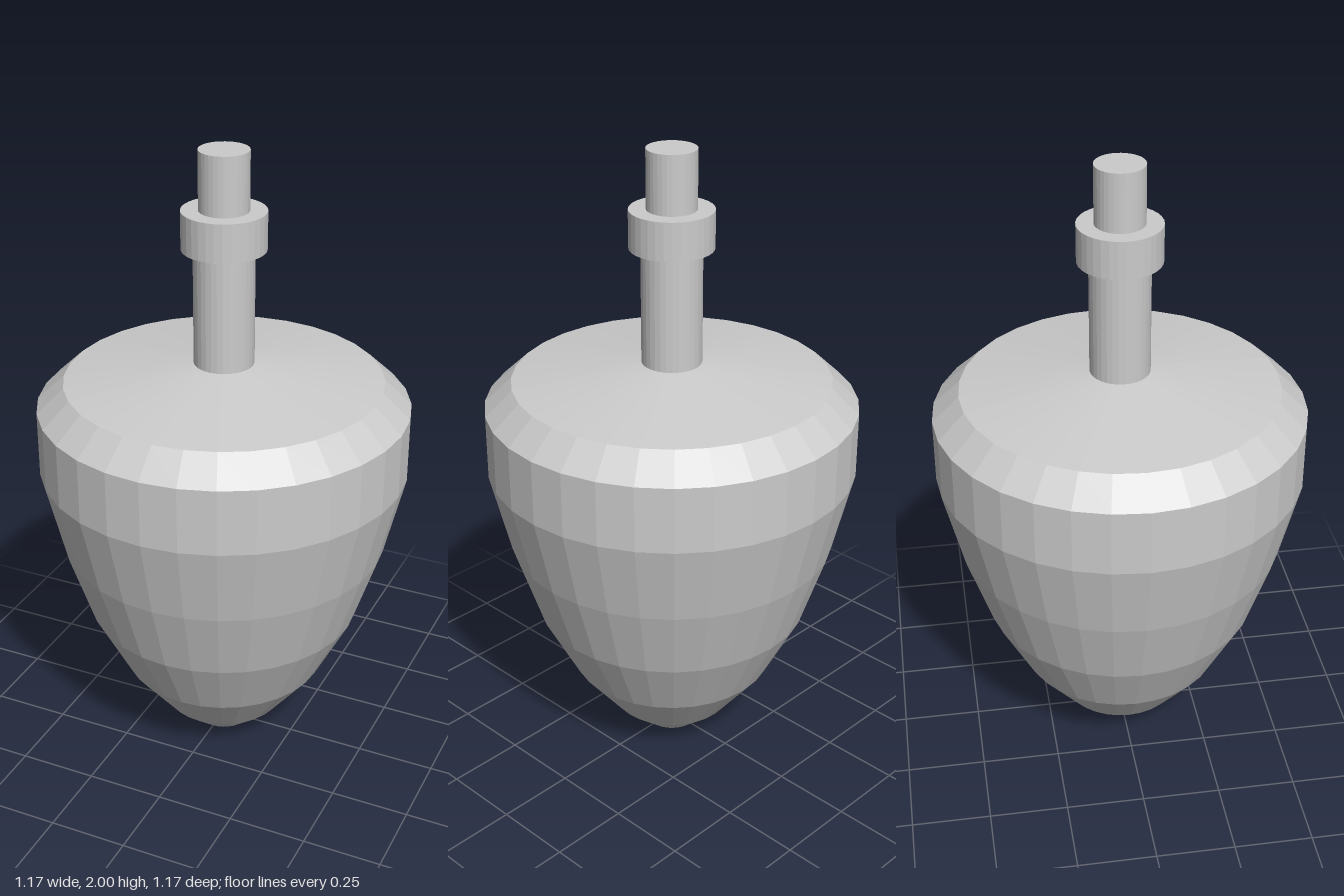
import * as THREE from 'three';

const SIDES = 32;

// Faceted turned part from [radius, height] pairs, listed bottom to top
function turned(name, profile) {
  const points = profile.map(([r, y]) => new THREE.Vector2(r, y));
  const mesh = new THREE.Mesh(
    new THREE.LatheGeometry(points, SIDES),
    new THREE.MeshStandardMaterial({ color: 0xcccccc, flatShading: true })
  );
  mesh.name = name;
  return mesh;
}

export function createModel() {
  const model = new THREE.Group();
  model.name = 'spinningTop';

  // Blunt foot, swelling belly, straight band, chamfer and shallow cone top
  model.add(turned('body', [
    [0, 0], [0.09, 0], [0.2, 0.095], [0.33, 0.26], [0.44, 0.475],
    [0.52, 0.72], [0.583, 0.985], [0.583, 1.195], [0.498, 1.275], [0.094, 1.33],
  ]));

  // Stem between body and collar
  model.add(turned('stem', [[0.094, 1.33], [0.094, 1.697]]));

  // Raised ring around the stem
  model.add(turned('collar', [
    [0.094, 1.697], [0.13, 1.697], [0.13, 1.817], [0.077, 1.817],
  ]));

  // Thinner grip with a flat end
  model.add(turned('grip', [[0.077, 1.817], [0.077, 2], [0, 2]]));

  return model;
}
